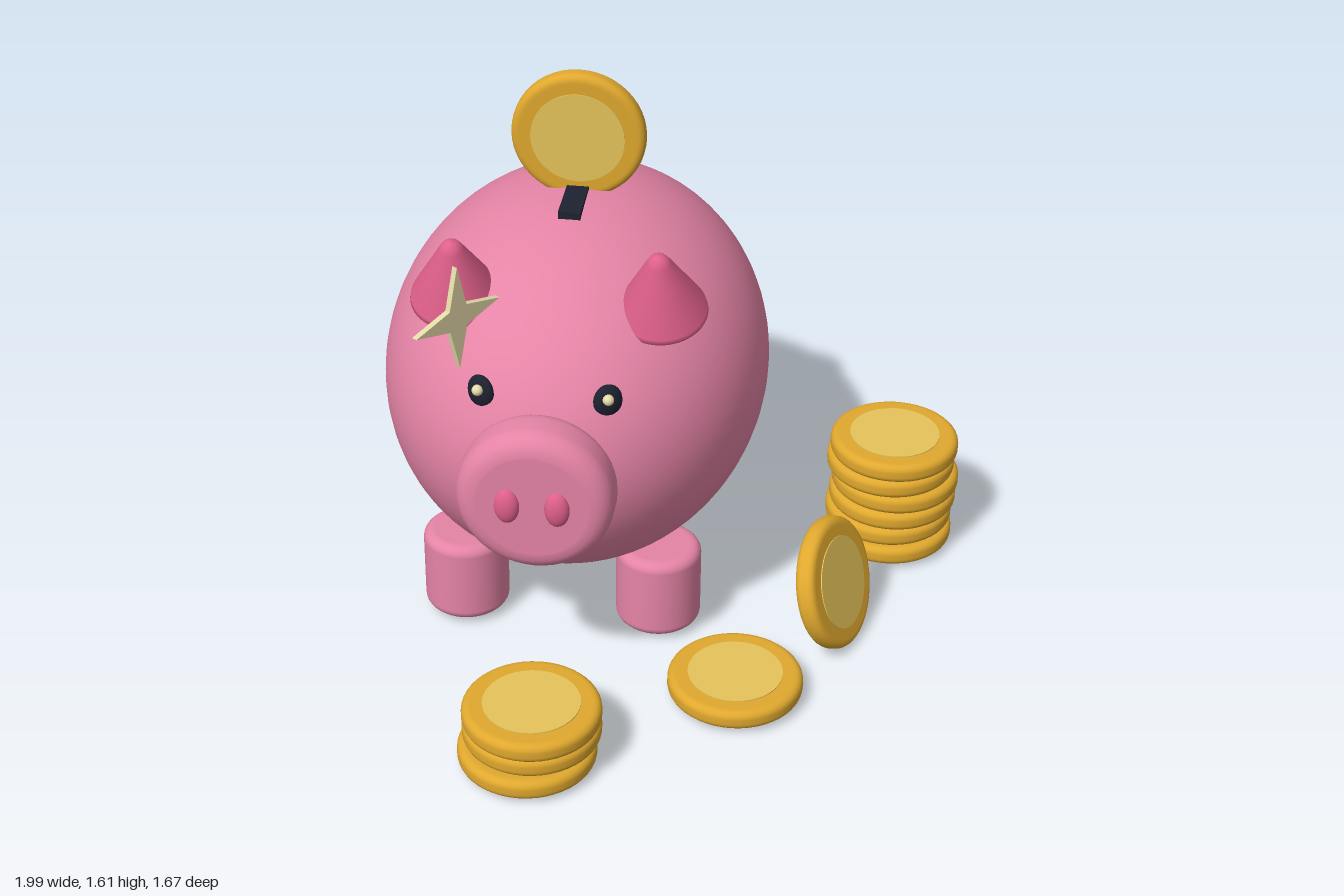
import * as THREE from 'three';

const mat = (name, color, extra = {}) => Object.assign(new THREE.MeshStandardMaterial({ color, ...extra }), { name });

// Solid of revolution with rounded rims, centred on its own middle
function roundedDisc(radius, height, corner, segments = 48) {
  const pts = [new THREE.Vector2(0, -height / 2), new THREE.Vector2((radius - corner) * 0.97, -height / 2)];
  for (const side of [-1, 1]) {
    for (let i = 0; i <= 5; i++) {
      const a = (side < 0 ? -Math.PI / 2 : 0) + (i / 5) * Math.PI / 2;
      pts.push(new THREE.Vector2(radius - corner + corner * Math.cos(a), side * (height / 2 - corner) + corner * Math.sin(a)));
    }
  }
  pts.push(new THREE.Vector2((radius - corner) * 0.97, height / 2), new THREE.Vector2(0, height / 2));
  return new THREE.LatheGeometry(pts, segments);
}

export function createModel() {
  const pink = mat('pink skin', 0xe584a6);
  const rose = mat('rose', 0xe0608c);
  const dark = mat('dark', 0x1e2230);
  const gold = mat('gold rim', 0xe0a82e);
  const paleGold = mat('pale gold face', 0xe6c45a);
  const cream = mat('cream sparkle', 0xf0e4b0);

  const model = new THREE.Group();
  model.name = 'piggyBankScene';

  const add = (parent, name, geometry, material, x = 0, y = 0, z = 0) => {
    const mesh = new THREE.Mesh(geometry, material);
    mesh.name = name;
    mesh.position.set(x, y, z);
    parent.add(mesh);
    return mesh;
  };

  // Pig: local +x is its nose direction
  const pig = new THREE.Group();
  pig.name = 'pig';
  pig.position.set(0.085, 0, -0.21);
  pig.rotation.y = Math.PI + 0.61;
  model.add(pig);

  const ball = new THREE.SphereGeometry(1, 64, 48);
  const smallBall = new THREE.SphereGeometry(1, 24, 16);
  const up = new THREE.Vector3(0, 1, 0);

  add(pig, 'body', ball, pink, 0, 0.695, 0).scale.set(0.733, 0.565, 0.573);

  // Snout and nostrils
  add(pig, 'snout', roundedDisc(0.222, 0.17, 0.06), pink, 0.768, 0.72, 0).rotation.z = -Math.PI / 2;

  // Ear: cone with a softened tip
  const earGeometry = new THREE.LatheGeometry([
    [0, -0.01], [0.12, -0.01], [0.13, 0], [0.127, 0.015], [0.034, 0.198], [0.026, 0.211], [0.014, 0.221], [0, 0.225],
  ].map(([x, y]) => new THREE.Vector2(x, y)), 40);
  const legGeometry = roundedDisc(0.127, 0.26, 0.03);

  for (const side of [-1, 1]) {
    const label = side < 0 ? 'left' : 'right';

    add(pig, label + 'Nostril', smallBall, rose, 0.85, 0.72, side * 0.07).scale.set(0.025, 0.055, 0.036);

    const ear = add(pig, label + 'Ear', earGeometry, rose, 0.36, 1.085, side * 0.295);
    ear.quaternion.setFromUnitVectors(up, new THREE.Vector3(0.07, 0.21, side * -0.005).normalize());

    // Eye flattened along the body surface, with a small glint
    const eye = add(pig, label + 'Eye', smallBall, dark, 0.625, 0.94, side * 0.178);
    eye.scale.set(0.042, 0.052, 0.022);
    eye.quaternion.setFromUnitVectors(new THREE.Vector3(0, 0, 1), new THREE.Vector3(1.16, 0, side * 0.54).normalize());
    add(pig, label + 'EyeGlint', smallBall, cream, 0.648, 0.957, side * 0.183).scale.setScalar(0.016);

    for (const end of [-1, 1]) {
      add(pig, label + (end > 0 ? 'FrontLeg' : 'BackLeg'), legGeometry, pink, end * 0.35, 0.15, side * 0.292);
    }
  }

  // Ring tail
  add(pig, 'tail', new THREE.TorusGeometry(0.078, 0.022, 16, 48), rose, -0.76, 0.78, 0).rotation.y = Math.PI / 2;

  // Coin slot on the back
  add(pig, 'coinSlot', new THREE.BoxGeometry(0.37, 0.025, 0.065), dark, -0.025, 1.255, 0);

  // Coins: rounded rim with a slightly raised pale face on both sides
  const rimGeometry = roundedDisc(0.197, 0.06, 0.022);
  const faceGeometry = new THREE.CylinderGeometry(0.138, 0.138, 0.066, 48);
  const addCoin = (parent, name, x, y, z) => {
    const coin = new THREE.Group();
    coin.name = name;
    coin.position.set(x, y, z);
    add(coin, 'coinRim', rimGeometry, gold);
    add(coin, 'coinFace', faceGeometry, paleGold);
    parent.add(coin);
    return coin;
  };

  addCoin(pig, 'insertedCoin', -0.038, 1.422, 0).rotation.z = Math.PI / 2;

  [[-0.775, 0.405], [-0.75, 0.4], [-0.76, 0.41]].forEach(([x, z], i) =>
    addCoin(model, 'smallStackCoin', x, 0.048 + i * 0.062, z));
  [[0.785, 0.47], [0.793, 0.46], [0.795, 0.47], [0.797, 0.475], [0.783, 0.465], [0.783, 0.475]].forEach(([x, z], i) =>
    addCoin(model, 'tallStackCoin', x, 0.048 + i * 0.062, z));

  addCoin(model, 'flatCoin', -0.152, 0.05, 0.637);
  addCoin(model, 'leaningCoin', 0.258, 0.195, 0.665).rotation.set(Math.PI / 2 - 0.32, 0.28, 0, 'YXZ');

  // Four-pointed sparkle
  const star = new THREE.Shape();
  for (let i = 0; i < 8; i++) {
    const r = i % 2 ? 0.042 : 0.147;
    const a = (i * Math.PI) / 4;
    star[i ? 'lineTo' : 'moveTo'](r * Math.cos(a), r * Math.sin(a));
  }
  star.closePath();
  const starGeometry = new THREE.ExtrudeGeometry(star, { depth: 0.016, bevelEnabled: false });
  starGeometry.translate(0, 0, -0.008);
  add(model, 'sparkle', starGeometry, cream, -0.852, 1.42, 0.26);

  return model;
}
